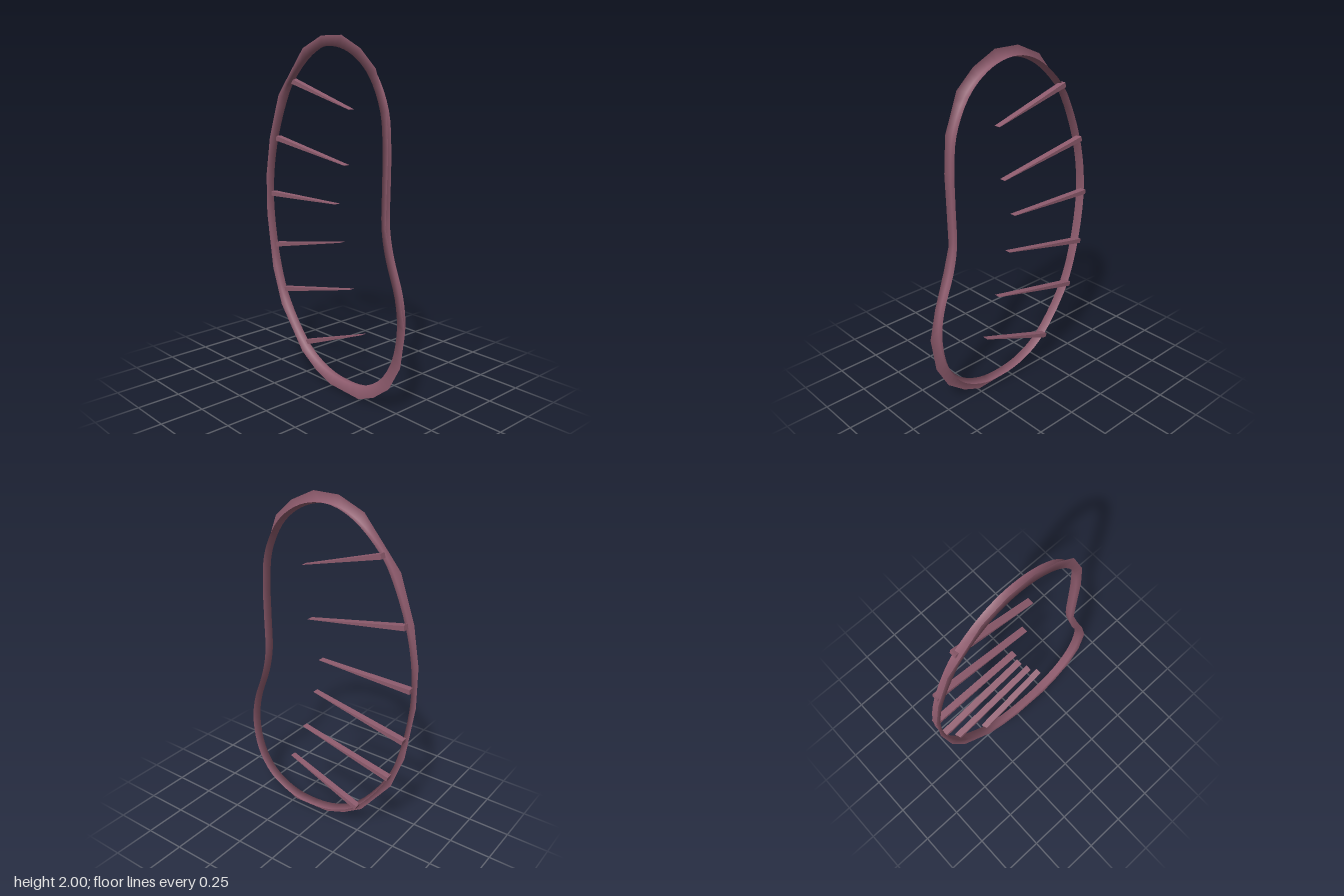
import * as THREE from 'three';

const material = new THREE.MeshStandardMaterial({ color: 0x8f5c6e, side: THREE.DoubleSide });
const FRONT = 0.03, BACK = -0.02, FLARE = 0.014, STEPS = 4;

// Rim stations, clockwise from the top: outer x, outer y, inner x, inner y
const stations = [
  [-0.07, 2.0, -0.06, 1.94], [0.09, 2.0, 0.075, 1.935], [0.235, 1.93, 0.2, 1.88],
  [0.345, 1.83, 0.3, 1.785], [0.425, 1.62, 0.38, 1.615], [0.44, 1.42, 0.4, 1.42],
  [0.435, 1.235, 0.4, 1.235], [0.43, 1.015, 0.4, 1.015], [0.47, 0.875, 0.43, 0.865],
  [0.54, 0.665, 0.503, 0.655], [0.58, 0.49, 0.522, 0.495], [0.55, 0.285, 0.487, 0.305],
  [0.47, 0.14, 0.405, 0.175], [0.355, 0.05, 0.31, 0.11], [0.24, 0, 0.2, 0.075],
  [0, 0.01, 0.03, 0.075], [-0.13, 0.06, -0.1, 0.11], [-0.255, 0.14, -0.23, 0.19],
  [-0.45, 0.39, -0.41, 0.42], [-0.53, 0.61, -0.493, 0.62], [-0.58, 0.945, -0.555, 0.95],
  [-0.58, 1.185, -0.553, 1.185], [-0.54, 1.415, -0.505, 1.415], [-0.45, 1.67, -0.405, 1.66],
  [-0.37, 1.765, -0.342, 1.755], [-0.225, 1.935, -0.195, 1.885],
];

// Angular outer edge, smooth inner edge, and a shallow wall flaring out to the back
function rimGeometry() {
  const n = stations.length, count = n * STEPS;
  const inner = new THREE.CatmullRomCurve3(
    stations.map(s => new THREE.Vector3(s[2], s[3], FRONT)), true, 'centripetal');
  const positions = [], indices = [];
  for (let i = 0; i < count; i++) {
    const a = stations[Math.floor(i / STEPS)], b = stations[(Math.floor(i / STEPS) + 1) % n];
    const f = (i % STEPS) / STEPS;
    const p = inner.getPoint(i / count), t = inner.getTangent(i / count);
    positions.push(
      THREE.MathUtils.lerp(a[0], b[0], f), THREE.MathUtils.lerp(a[1], b[1], f), FRONT,
      p.x, p.y, FRONT,
      p.x - t.y * FLARE, p.y + t.x * FLARE, BACK);
    const j = (i + 1) % count;
    for (let k = 0; k < 2; k++) {
      const p0 = i * 3 + k, p1 = j * 3 + k;
      indices.push(p0, p0 + 1, p1, p1, p0 + 1, p1 + 1);
    }
  }
  const g = new THREE.BufferGeometry();
  g.setAttribute('position', new THREE.Float32BufferAttribute(positions, 3));
  g.setIndex(indices);
  g.computeVertexNormals();
  return g;
}

// Wedge running from a thick root to a knife-edge tip of full depth
function spike(rootX, rootY, tipX, tipY) {
  const length = Math.hypot(tipX - rootX, tipY - rootY);
  const g = new THREE.BoxGeometry(length, 0.028, 0.038).translate(length / 2, 0, 0);
  const pos = g.attributes.position;
  for (let i = 0; i < pos.count; i++) {
    if (pos.getX(i) > length / 2) pos.setY(i, pos.getY(i) * 0.05);
  }
  g.computeVertexNormals();
  const mesh = new THREE.Mesh(g, material);
  mesh.position.set(rootX, rootY, -0.016);
  mesh.rotation.z = Math.atan2(tipY - rootY, tipX - rootX);
  return mesh;
}

export function createModel() {
  const model = new THREE.Group();
  model.name = 'ribbedFrame';

  const rim = new THREE.Mesh(rimGeometry(), material);
  rim.name = 'rim';
  model.add(rim);

  // Six spikes fanning in from the right side of the rim
  const spikes = [
    [-0.37, 1.753, 0.12, 1.613], [-0.52, 1.412, 0.085, 1.309], [-0.572, 1.067, 0.01, 1.083],
    [-0.545, 0.748, 0.05, 0.87], [-0.463, 0.478, 0.13, 0.613], [-0.258, 0.187, 0.225, 0.371],
  ];
  spikes.forEach((s, i) => {
    const mesh = spike(...s);
    mesh.name = `spike${i + 1}`;
    model.add(mesh);
  });
  return model;
}
